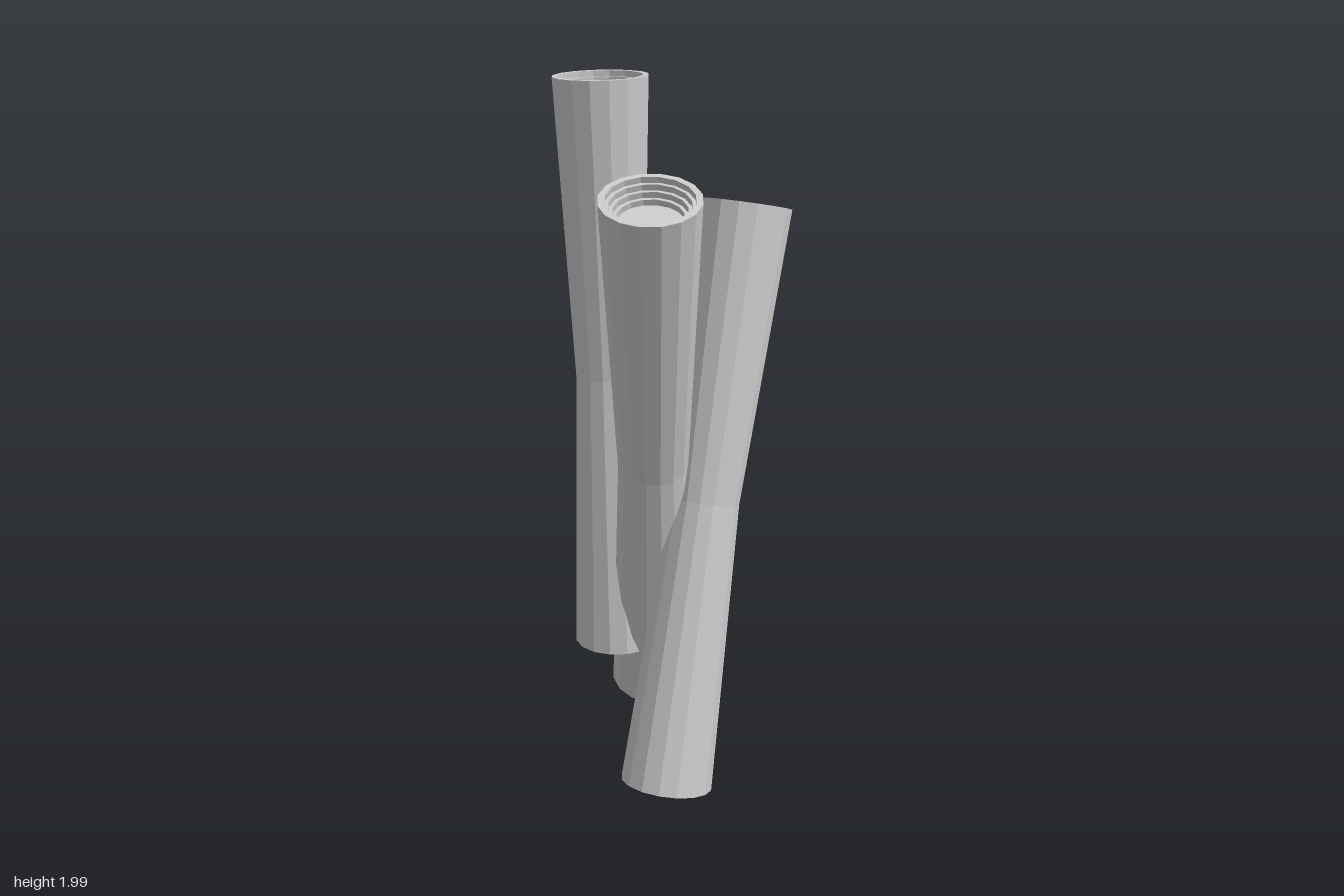
import * as THREE from 'three';

const SIDES = 16;
const LENGTH = 1.655;
const RIM = 0.131;   // radius at both ends
const WAIST = 0.098; // radius at the middle

// Hourglass tube along y, closed at the bottom, with a stepped recess in its top
function tubeGeometry() {
  const half = LENGTH / 2;
  const profile = [[0, -half], [RIM, -half], [WAIST, 0], [RIM, half]];
  const steps = 4;
  for (let i = 0; i < steps; i++) {
    const r = 0.114 - i * 0.0095;
    profile.push([r, half - i * 0.016], [r, half - (i + 1) * 0.016]);
  }
  profile.push([0, half - steps * 0.016]);
  const points = profile.map(([r, y]) => new THREE.Vector2(r, y));
  return new THREE.LatheGeometry(points, SIDES, Math.PI / SIDES);
}

export function createModel() {
  const group = new THREE.Group();
  group.name = 'crossedTubes';
  const material = new THREE.MeshStandardMaterial({ color: 0xcccccc, flatShading: true });
  const geometry = tubeGeometry();
  const up = new THREE.Vector3(0, 1, 0);

  // Centres of the bottom and top ends of each leaning tube
  const tubes = [
    ['backTube', [-0.165, 0.34, -0.235], [-0.197, 1.994, -0.172]],
    ['forwardLeaningTube', [-0.056, 0.19, -0.298], [-0.069, 1.733, 0.301]],
    ['sideLeaningTube', [-0.03, 0.032, 0.113], [0.195, 1.652, -0.182]],
  ];
  for (const [name, bottom, top] of tubes) {
    const a = new THREE.Vector3(...bottom);
    const b = new THREE.Vector3(...top);
    const mesh = new THREE.Mesh(geometry, material);
    mesh.name = name;
    mesh.position.addVectors(a, b).multiplyScalar(0.5);
    mesh.quaternion.setFromUnitVectors(up, b.sub(a).normalize());
    group.add(mesh);
  }
  return group;
}
